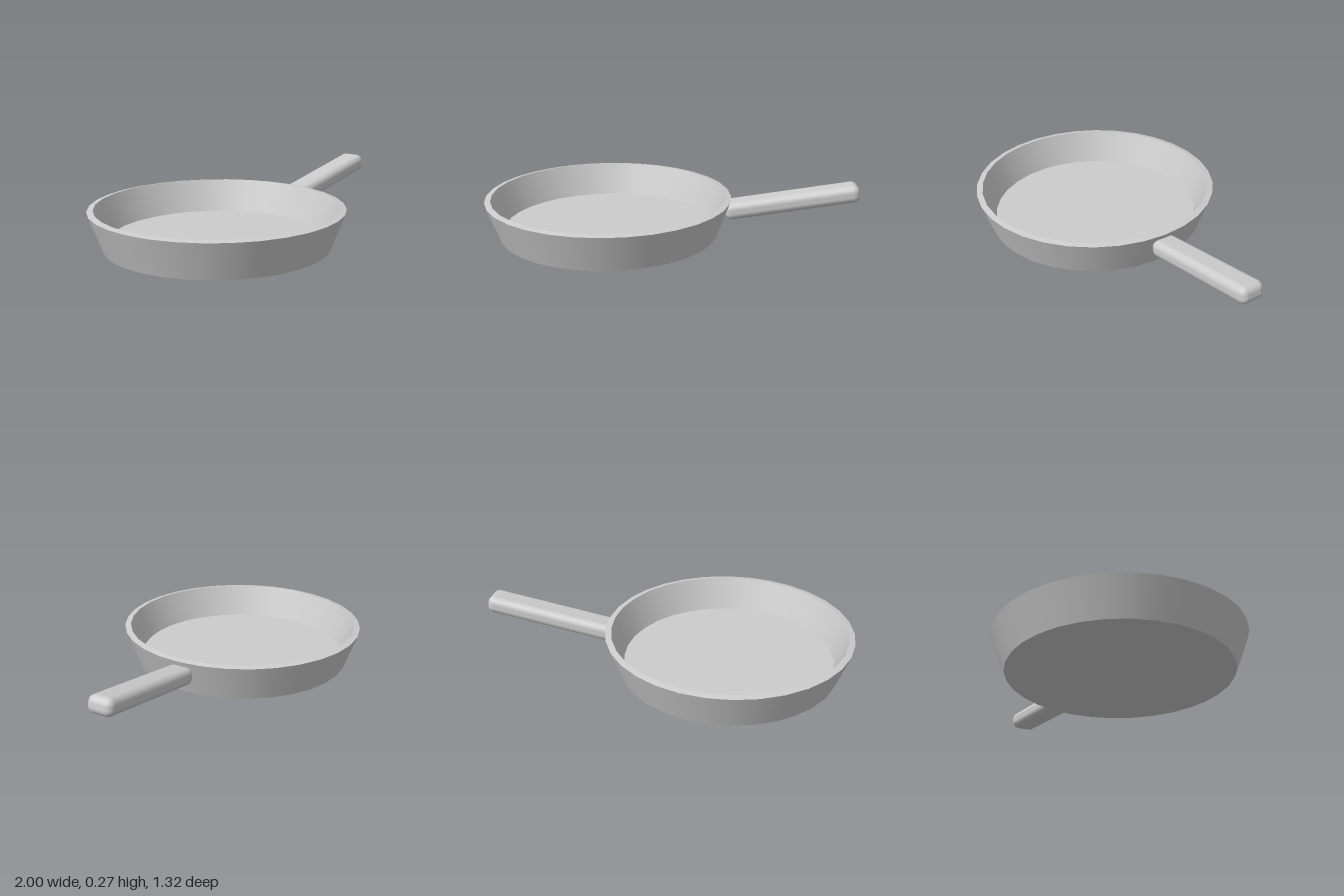
import * as THREE from 'three';
import { RoundedBoxGeometry } from 'three/addons/geometries/RoundedBoxGeometry.js';

export function createModel() {
  const model = new THREE.Group();
  model.name = 'fryingPan';
  const metal = new THREE.MeshStandardMaterial({ color: 0xcccccc });
  metal.name = 'lightGreyMetal';

  // Pan body: one lathe per surface, so the edges between them stay sharp
  const body = new THREE.Group();
  body.name = 'panBody';
  body.position.x = -0.342;
  const profile = [[0, 0], [0.585, 0], [0.658, 0.197], [0.626, 0.203], [0.56, 0.035], [0, 0.035]];
  const names = ['base', 'outerWall', 'rim', 'innerWall', 'cookingSurface'];
  names.forEach((name, i) => {
    const points = [profile[i], profile[i + 1]].map(([r, y]) => new THREE.Vector2(r, y));
    const surface = new THREE.Mesh(new THREE.LatheGeometry(points, 32), metal);
    surface.name = name;
    body.add(surface);
  });
  model.add(body);

  // Handle: a rounded bar rising away from the wall
  const handle = new THREE.Mesh(new RoundedBoxGeometry(0.726, 0.094, 0.144, 4, 0.038), metal);
  handle.name = 'handle';
  handle.position.set(0.639, 0.174, 0);
  handle.rotation.z = THREE.MathUtils.degToRad(8.5);
  model.add(handle);

  return model;
}
